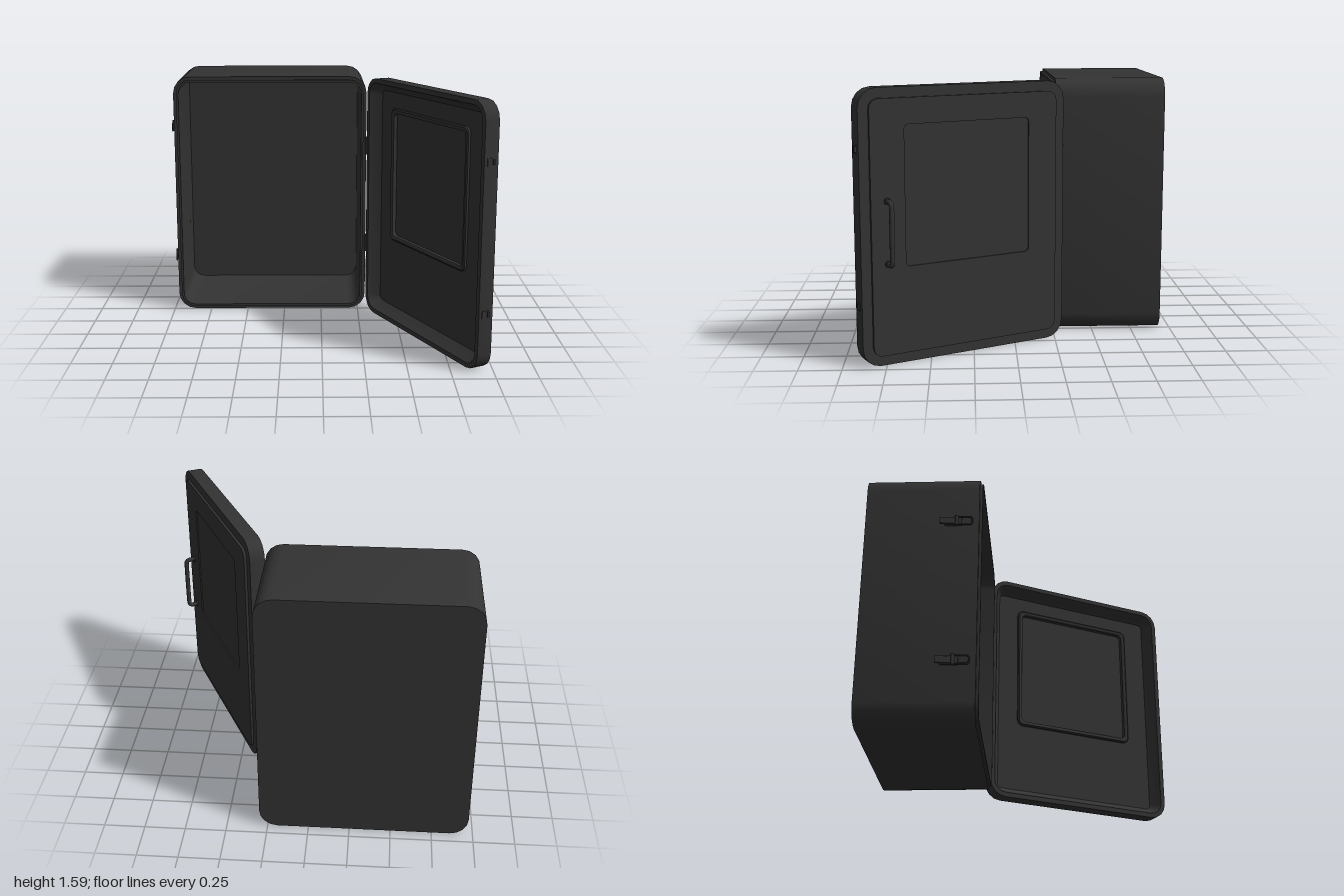
import * as THREE from 'three';
import { toCreasedNormals } from 'three/addons/utils/BufferGeometryUtils.js';

const H = 1.59, MID = H / 2;
const mat = new THREE.MeshStandardMaterial({ color: 0x333333 });

function add(parent, name, geo, x = 0, y = 0, z = 0) {
  const mesh = new THREE.Mesh(geo, mat);
  mesh.name = name;
  mesh.position.set(x, y, z);
  parent.add(mesh);
  return mesh;
}

// Outline of a rounded rectangle, anticlockwise, as points
function outline(w, h, r, seg = 4) {
  const pts = [];
  const corners = [[1, 1], [-1, 1], [-1, -1], [1, -1]];
  corners.forEach(([sx, sy], c) => {
    for (let i = 0; i <= seg; i++) {
      const a = (c + i / seg) * Math.PI / 2;
      pts.push(new THREE.Vector2(sx * (w / 2 - r) + r * Math.cos(a), sy * (h / 2 - r) + r * Math.sin(a)));
    }
  });
  return pts;
}

// Skin over nested rounded rectangles; each ring is [inset, z], inset null closes to the centre
function loft(w, h, r, rings) {
  const loops = rings.map(([inset, z]) =>
    outline(w - 2 * (inset ?? 0), h - 2 * (inset ?? 0), Math.max(r - (inset ?? 0), 0.03))
      .map(p => inset === null ? [0, 0, z] : [p.x, p.y, z]));
  const pos = [];
  for (let k = 0; k + 1 < loops.length; k++) {
    const a = loops[k], b = loops[k + 1], n = a.length;
    for (let i = 0; i < n; i++) {
      const j = (i + 1) % n;
      if (rings[k][0] !== null) pos.push(...a[i], ...a[j], ...b[j]);
      if (rings[k + 1][0] !== null) pos.push(...a[i], ...b[j], ...b[i]);
    }
  }
  const geo = new THREE.BufferGeometry();
  geo.setAttribute('position', new THREE.Float32BufferAttribute(pos, 3));
  return toCreasedNormals(geo, 0.6);
}

// Flat rounded plate with a rounded hole offset by (hx, hy)
function plateWithHole(w, h, r, hw, hh, hr, hx, hy, depth) {
  const shape = new THREE.Shape(outline(w, h, r));
  shape.holes.push(new THREE.Path(outline(hw, hh, hr).map(p => p.add(new THREE.Vector2(hx, hy))).reverse()));
  return toCreasedNormals(new THREE.ExtrudeGeometry(shape, { depth, bevelEnabled: false }), 0.6);
}

// Bracket-shaped rod through a few points with soft bends
function rod(points, radius) {
  const path = new THREE.CatmullRomCurve3(points.map(p => new THREE.Vector3(...p)), false, 'catmullrom', 0.2);
  return new THREE.TubeGeometry(path, 40, radius, 10);
}

export function createModel() {
  const model = new THREE.Group();
  model.name = 'cabinet';

  // Hollow body with a raised lip around the opening
  add(model, 'cabinetBody', loft(1.27, H, 0.11, [
    [null, -0.93], [0, -0.93], [0, -0.26], [0.02, -0.26], [0.02, -0.243],
    [0.035, -0.243], [0.035, -0.9], [null, -0.9],
  ]), -0.335, MID, 0);

  // Toggle latches on the side opposite the hinges
  for (const y of [0.355, 1.25]) {
    const latch = new THREE.Group();
    latch.name = 'latch';
    latch.position.set(-0.97, y, 0);
    add(latch, 'latchBase', new THREE.BoxGeometry(0.016, 0.05, 0.1), -0.006, 0, -0.41);
    const lever = add(latch, 'latchLever', new THREE.BoxGeometry(0.008, 0.04, 0.1), -0.019, 0, -0.44);
    lever.rotation.y = 0.12;
    add(latch, 'latchPivot', new THREE.CylinderGeometry(0.01, 0.01, 0.064, 12), -0.018, 0, -0.39);
    add(latch, 'latchLoop', rod([
      [-0.018, -0.025, -0.39], [-0.014, -0.025, -0.31], [-0.014, -0.015, -0.3],
      [-0.014, 0.015, -0.3], [-0.014, 0.025, -0.31], [-0.018, 0.025, -0.39],
    ], 0.005));
    model.add(latch);
  }

  // Hinges between body and door
  for (const y of [0.46, 1.13]) {
    add(model, 'hingePin', new THREE.CylinderGeometry(0.011, 0.011, 0.11, 12), 0.303, y, -0.262);
    add(model, 'hingePlate', new THREE.BoxGeometry(0.008, 0.11, 0.045), 0.302, y, -0.288);
  }

  // Open door: local x runs from hinge to free edge, -z is its outer side
  const W = 1.317;
  const door = new THREE.Group();
  door.name = 'door';
  door.position.set(0.305, MID, -0.255);
  door.rotation.y = -1.104;
  model.add(door);

  add(door, 'doorFrame', loft(W, H, 0.11, [
    [0.065, -0.095], [0, -0.095], [0, 0], [0.03, 0], [0.04, -0.02], [0.08, -0.07],
  ]), W / 2);

  // Door panel with window opening, pane and inner window trim
  const winX = 0.65 - W / 2, winY = 0.975 - MID;
  add(door, 'doorPanel', plateWithHole(W - 0.12, H - 0.12, 0.055, 0.8, 0.81, 0.025, winX, winY, 0.041), W / 2, 0, -0.111);
  add(door, 'windowPane', new THREE.BoxGeometry(0.82, 0.83, 0.022), 0.65, winY, -0.092);
  add(door, 'windowTrim', loft(0.86, 0.87, 0.04, [
    [0, -0.072], [0, -0.056], [0.008, -0.05], [0.022, -0.05], [0.03, -0.056], [0.03, -0.082],
  ]), 0.65, winY);

  // Pull handle
  add(door, 'doorHandle', rod([
    [1.16, 0.595 - MID, -0.105], [1.16, 0.595 - MID, -0.155], [1.16, 0.62 - MID, -0.172],
    [1.16, 0.93 - MID, -0.172], [1.16, 0.955 - MID, -0.155], [1.16, 0.955 - MID, -0.105],
  ], 0.015));
  for (const y of [0.595, 0.955]) {
    const foot = add(door, 'handleFoot', new THREE.CylinderGeometry(0.02, 0.02, 0.012, 16), 1.16, y - MID, -0.114);
    foot.rotation.x = Math.PI / 2;
  }

  // Latch catches on the free edge
  for (const y of [0.355, 1.25]) {
    add(door, 'catchPlate', new THREE.BoxGeometry(0.01, 0.045, 0.05), W, y - MID, -0.045);
    add(door, 'catchHook', new THREE.BoxGeometry(0.014, 0.03, 0.012), W + 0.007, y - MID, -0.06);
  }

  return model;
}
